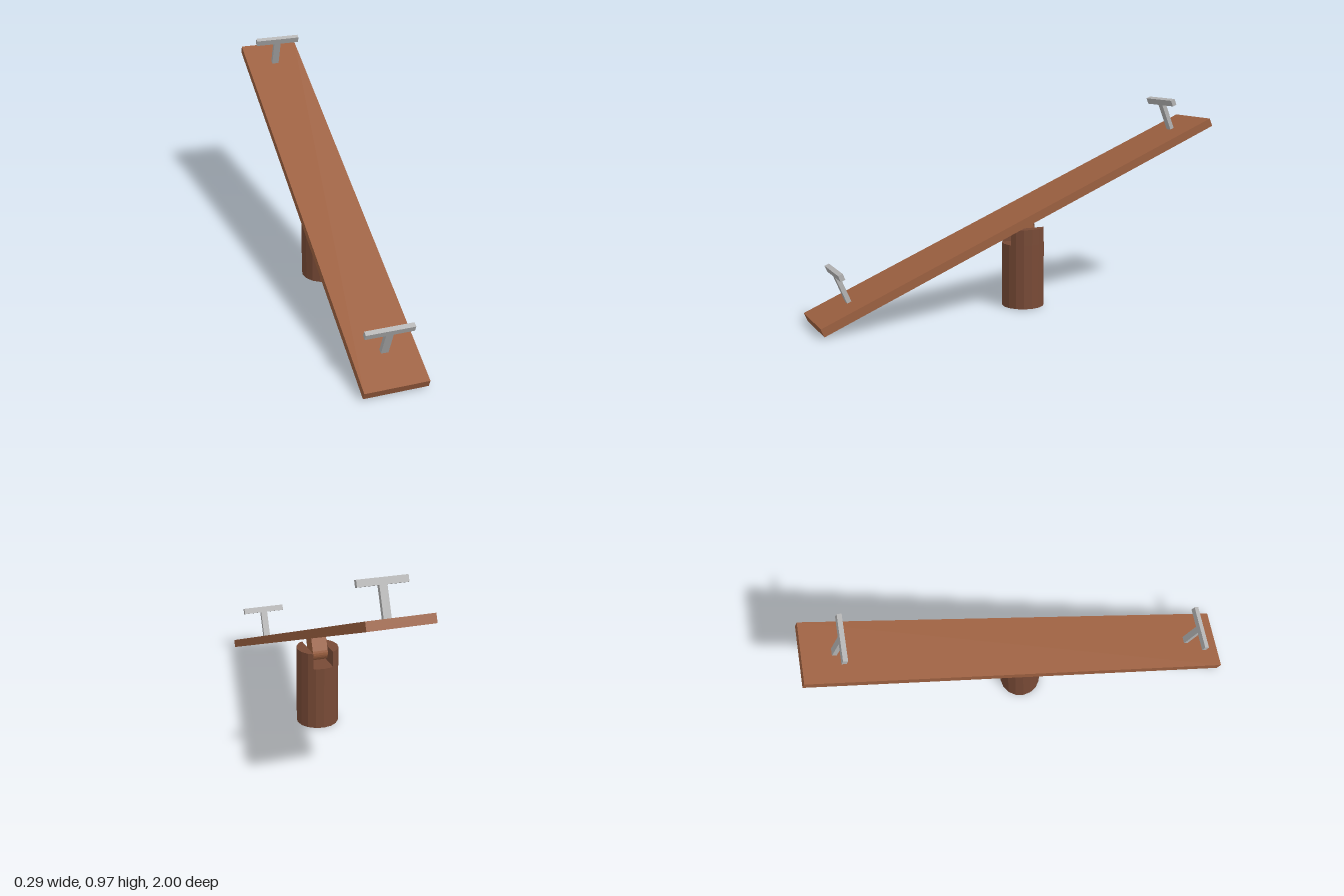
import * as THREE from 'three';

const mat = (color) => new THREE.MeshStandardMaterial({ color, flatShading: true });
const wood = mat(0x9c6040);
const darkWood = mat(0x784a36);
const metal = mat(0xb4b4b4);

function add(parent, name, geometry, material, x = 0, y = 0, z = 0) {
  const mesh = new THREE.Mesh(geometry, material);
  mesh.name = name;
  mesh.position.set(x, y, z);
  parent.add(mesh);
  return mesh;
}

// T-shaped grip standing on the plank's upper surface
function makeHandle(name, z) {
  const handle = new THREE.Group();
  handle.name = name;
  add(handle, 'handleStem', new THREE.BoxGeometry(0.034, 0.14, 0.021), metal, 0, 0.085, 0);
  add(handle, 'handleBar', new THREE.BoxGeometry(0.22, 0.03, 0.022), metal, 0, 0.169, 0);
  handle.position.z = z;
  return handle;
}

// Round post with a slot along z across its top
function makePost() {
  const post = new THREE.Group();
  post.name = 'post';
  const r = 0.1, floor = 0.305, top = 0.38, slot = 0.048;
  add(post, 'postBase', new THREE.CylinderGeometry(r, r, floor, 16), darkWood, 0, floor / 2, 0);

  for (const side of [1, -1]) {
    const points = [new THREE.Vector2(slot, -0.0858)];
    for (let i = -2; i <= 2; i++) {
      const a = (i * Math.PI) / 8;
      points.push(new THREE.Vector2(r * Math.cos(a), r * Math.sin(a)));
    }
    points.push(new THREE.Vector2(slot, 0.0858));
    const geometry = new THREE.ExtrudeGeometry(new THREE.Shape(points), {
      depth: top - floor, bevelEnabled: false,
    });
    geometry.rotateX(-Math.PI / 2);
    if (side < 0) geometry.rotateY(Math.PI);
    add(post, side > 0 ? 'leftCheek' : 'rightCheek', geometry, darkWood, 0, floor, 0);
  }
  post.position.z = -0.027;
  return post;
}

export function createModel() {
  const model = new THREE.Group();
  model.name = 'seesaw';
  model.add(makePost());

  // Tilting assembly: plank, hinge block and both handles
  const beam = new THREE.Group();
  beam.name = 'beam';
  beam.position.y = 0.4375;
  beam.rotation.x = THREE.MathUtils.degToRad(22.6);
  model.add(beam);
  add(beam, 'plank', new THREE.BoxGeometry(0.29, 0.04, 2.15), wood);

  // Hinge block with a rounded lower end, resting in the slot
  const w = 0.04, width = 0.074;
  const profile = new THREE.Shape();
  profile.moveTo(w, -0.01);
  profile.lineTo(-w, -0.01);
  profile.lineTo(-w, -0.085);
  profile.absarc(0, -0.085, w, Math.PI, Math.PI * 2, false);
  profile.closePath();
  const hinge = new THREE.ExtrudeGeometry(profile, { depth: width, bevelEnabled: false, curveSegments: 6 });
  hinge.translate(0, 0, -width / 2);
  hinge.rotateY(Math.PI / 2);
  add(beam, 'hingeBlock', hinge, wood);

  beam.add(makeHandle('frontHandle', 0.896), makeHandle('backHandle', -0.929));
  return model;
}
